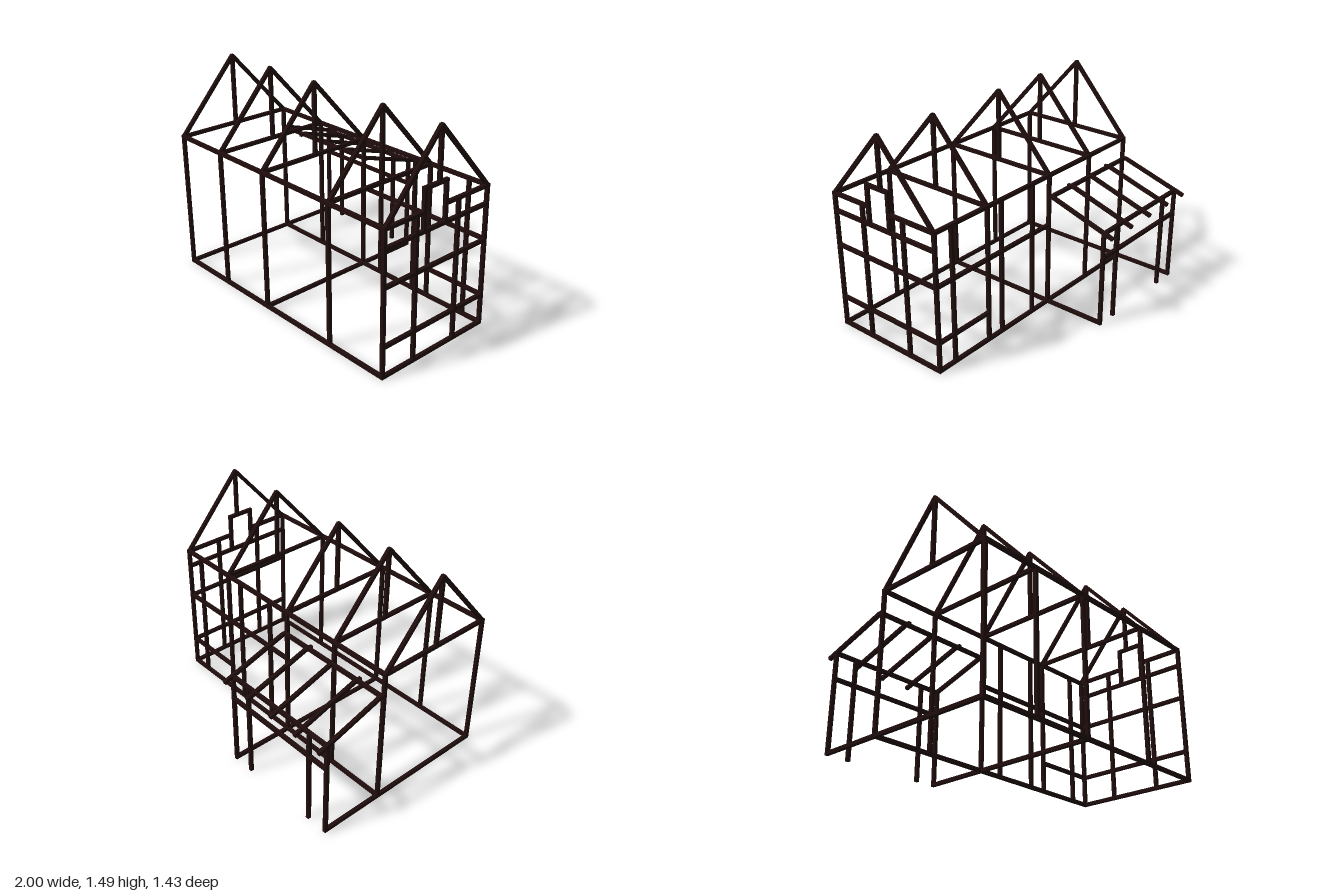
import * as THREE from 'three';

export function createModel() {
  const group = new THREE.Group();
  const timber = new THREE.MeshStandardMaterial({ color: 0x1f0d0c });
  timber.name = 'darkTimber';

  const T = 0.024; // beam thickness
  const X0 = -0.988, X1 = 0.988, XP = -0.103; // ends, and inner side of the porch
  const ZF = 0.7, ZB = -0.185, ZR = 0.2575, ZP = -0.64; // front, back, ridge, porch posts
  const FLOOR = T / 2, EAVE = 0.985, RIDGE = 1.483;

  // square beam between two points, lengthened by ext at both ends
  function beam(name, a, b, ext = T / 2) {
    const p = new THREE.Vector3(...a), q = new THREE.Vector3(...b);
    const mesh = new THREE.Mesh(new THREE.BoxGeometry(T, T, p.distanceTo(q) + 2 * ext), timber);
    const mid = p.clone().add(q).multiplyScalar(0.5);
    const d = q.clone().sub(p).normalize();
    mesh.position.copy(mid);
    if (Math.abs(d.y) > 0.999) mesh.rotation.x = Math.PI / 2;
    else mesh.lookAt(mid.clone().add(d));
    mesh.name = name;
    group.add(mesh);
  }
  const post = (name, x, z, top = EAVE, bottom = FLOOR) => beam(name, [x, bottom, z], [x, top, z]);
  const railX = (name, xa, xb, y, z) => beam(name, [xa, y, z], [xb, y, z]);
  const railZ = (name, x, y, za, zb) => beam(name, [x, y, za], [x, y, zb]);

  // window opening in the gable at +x
  const SILL = 0.862, HEAD = 1.133, WF = 0.38, WB = 0.197;

  // five cross frames with roof trusses
  for (const x of [X0, -0.555, XP, 0.522, X1]) {
    const gable = x === X1;
    for (const z of [ZF, ZB]) {
      post('mainPost', x, z);
      beam('roofRafter', [x, EAVE, z], [x, RIDGE, ZR], 0.004);
    }
    post('kingPost', x, ZR, RIDGE - 0.01, gable ? HEAD : EAVE);
    if (gable) {
      railZ('tieBeam', x, EAVE, ZF, WF);
      railZ('tieBeam', x, EAVE, WB, ZB);
    } else railZ('tieBeam', x, EAVE, ZF, ZB);
  }

  // long sills and eave beams
  for (const z of [ZF, ZB]) {
    railX('floorBeam', X0, X1, FLOOR, z);
    railX('eaveBeam', X0, X1, EAVE, z);
  }

  // floor cross beams, two of them running on under the porch
  railZ('floorCrossBeam', X0, FLOOR, ZF, ZP);
  railZ('floorCrossBeam', XP, FLOOR, ZF, ZP);
  railZ('floorCrossBeam', X1, FLOOR, ZF, ZB);

  // back wall framing
  for (const x of [0.075, 0.39, 0.845]) post('backStud', x, ZB);
  railX('backRail', XP, X1, 0.617, ZB);
  railX('backLowRail', 0.522, X1, 0.218, ZB);

  // end wall framing and window
  for (const z of [0.44, 0.08]) post('endStud', X1, z);
  for (const y of [0.217, 0.613, SILL]) railZ('endRail', X1, y, ZF, ZB);
  for (const z of [WF, WB]) post('windowJamb', X1, z, HEAD, SILL);
  railZ('windowHead', X1, HEAD, WF, WB);

  // porch at the back
  for (const x of [X0, -0.832, -0.257, XP]) post('porchPost', x, ZP, 0.69);
  railX('porchBeam', X0, XP, 0.697, ZP);
  railX('porchRail', X0, XP, 0.516, ZP);
  railX('porchLedger', X0, XP, 0.832, -0.203);
  for (const x of [X0, -0.778, -0.555, -0.33, XP]) {
    railZ('porchRafterHead', x, 0.832, ZB, -0.214);
    beam('porchRafter', [x, 0.832, -0.222], [x, 0.679, -0.71], 0.002);
  }

  return group;
}
